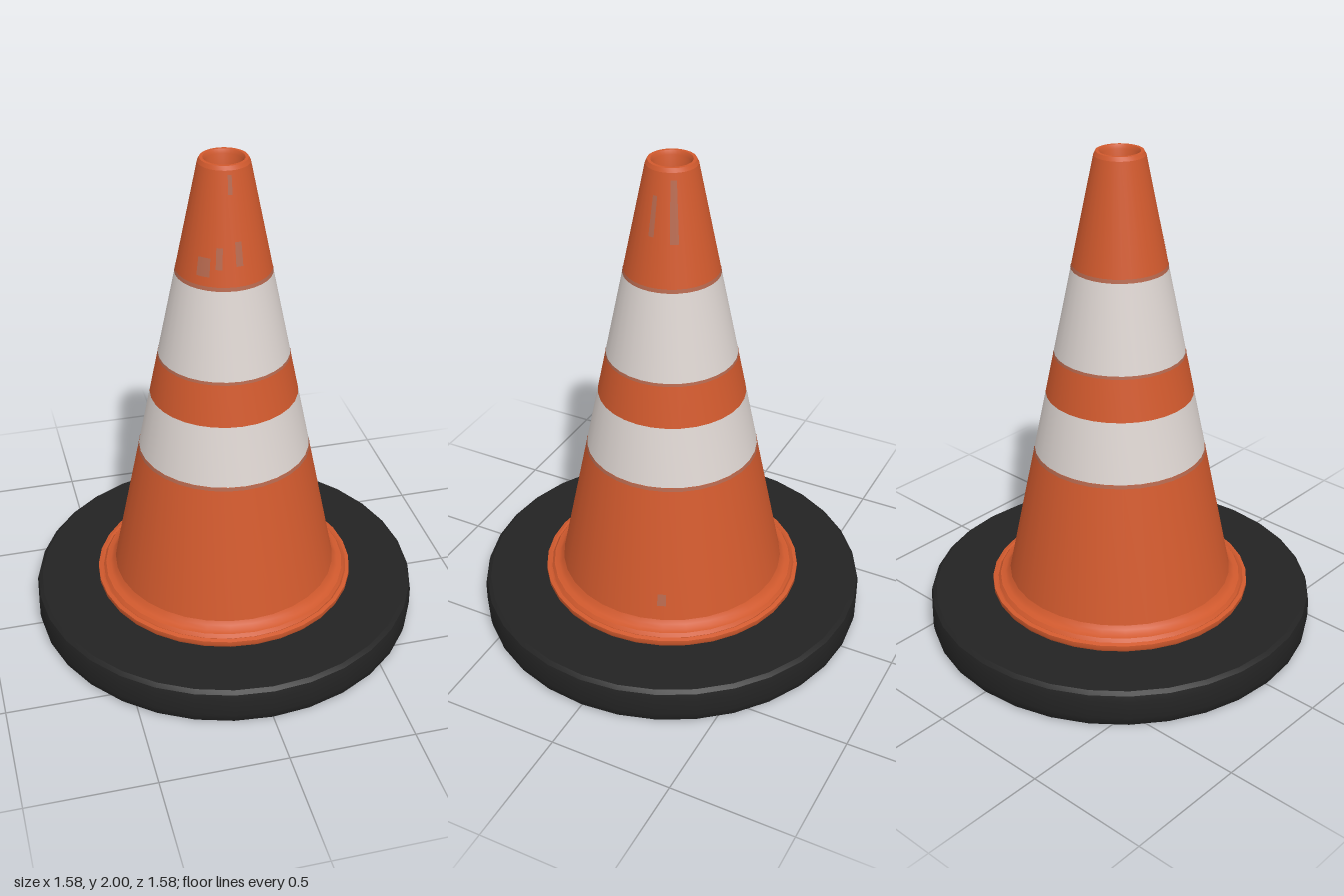
import * as THREE from 'three';
import { toCreasedNormals } from 'three/addons/utils/BufferGeometryUtils.js';

const SIDES = 32;

const material = (name, color) => {
  const m = new THREE.MeshStandardMaterial({ color });
  m.name = name;
  return m;
};

// Surface of revolution with sharp edges kept; profile points are [radius, y]
function turned(name, mat, profile, start = 0, length = Math.PI * 2, segments = SIDES) {
  const points = profile.map(([r, y]) => new THREE.Vector2(r, y));
  const geometry = new THREE.LatheGeometry(points, segments, start, length);
  const mesh = new THREE.Mesh(toCreasedNormals(geometry, 0.6), mat);
  mesh.name = name;
  return mesh;
}

// Radius of the cone wall at a given height
const coneRadius = (y) => 0.462 - (y - 0.2) * 0.204;

export function createModel() {
  const orange = material('orange plastic', 0xd0592d);
  const white = material('reflective white', 0xdcd4d0);
  const black = material('black rubber', 0x232323);
  const scuffed = material('scuffed orange', 0xb4674d);
  const model = new THREE.Group();
  model.name = 'trafficCone';

  // Hollow rubber base, open below
  model.add(turned('base', black, [
    [0.49, 0.13], [0.755, 0.13], [0.765, 0.01], [0.775, 0], [0.785, 0.012],
    [0.79, 0.04], [0.79, 0.115], [0.784, 0.138], [0.768, 0.15], [0.49, 0.152],
  ]));

  // Stepped flange where the cone meets the base
  model.add(turned('flange', orange, [
    [0.5, 0.15], [0.525, 0.155], [0.53, 0.165], [0.53, 0.182], [0.515, 0.187],
    [0.508, 0.182], [0.498, 0.196], [0.478, 0.2], [0.465, 0.212], [0.455, 0.23],
  ]));

  // Cone wall, split into colour bands
  const bands = [
    ['lowerCone', orange, 0.2, 0.79],
    ['lowerStripe', white, 0.79, 1.03],
    ['middleCone', orange, 1.03, 1.205],
    ['upperStripe', white, 1.205, 1.55],
    ['upperCone', orange, 1.55, 1.985],
  ];
  for (const [name, mat, y0, y1] of bands) {
    model.add(turned(name, mat, [[coneRadius(y0), y0], [coneRadius(y1), y1]]));
  }

  // Rounded lip and the hollow at the tip
  model.add(turned('tipOpening', orange, [
    [coneRadius(1.985), 1.985], [0.09, 2], [0.078, 2], [0.07, 1.985], [0.07, 1.86], [0, 1.86],
  ]));

  // Pleated underside, rising slightly to the middle
  const under = new THREE.CylinderGeometry(0.02, 0.52, 0.05, 44, 4, true);
  const p = under.attributes.position;
  for (let i = 0; i < p.count; i++) {
    const r = Math.hypot(p.getX(i), p.getZ(i));
    const t = Math.min(1, Math.max(0, (r - 0.02) / 0.5));
    const pleat = (i % 45) % 2 === 0 ? 0.06 * t * (1 - t) : 0;
    p.setXYZ(i, t === 0 ? 0 : p.getX(i), 0.124 + 0.05 * (1 - t) + pleat, t === 0 ? 0 : p.getZ(i));
  }
  // Turn the faces downwards
  const index = under.index;
  for (let i = 0; i < index.count; i += 3) {
    const b = index.getX(i + 1);
    index.setX(i + 1, index.getX(i + 2));
    index.setX(i + 2, b);
  }
  under.computeVertexNormals();
  const underside = new THREE.Mesh(under, orange);
  underside.name = 'underside';
  model.add(underside);

  // Worn patches: bottom y, top y, angle from the front, angular width
  const scuffs = [
    [1.6, 1.67, -0.7, 0.3], [1.63, 1.71, -0.35, 0.15], [1.64, 1.73, 0.1, 0.16],
    [1.9, 1.97, -0.05, 0.14], [1.73, 1.96, 2.1, 0.22], [1.75, 1.9, 1.5, 0.15],
    [0.29, 0.34, 1.95, 0.08],
  ];
  for (const [y0, y1, angle, width] of scuffs) {
    model.add(turned('scuff', scuffed,
      [[coneRadius(y0) + 0.002, y0], [coneRadius(y1) + 0.002, y1]], angle - width / 2, width, 4));
  }

  // Worn edges along the stripes
  for (const [y0, y1] of [[0.775, 0.79], [1.195, 1.207], [1.55, 1.565]]) {
    model.add(turned('wornEdge', scuffed, [[coneRadius(y0) + 0.001, y0], [coneRadius(y1) + 0.001, y1]]));
  }
  return model;
}
